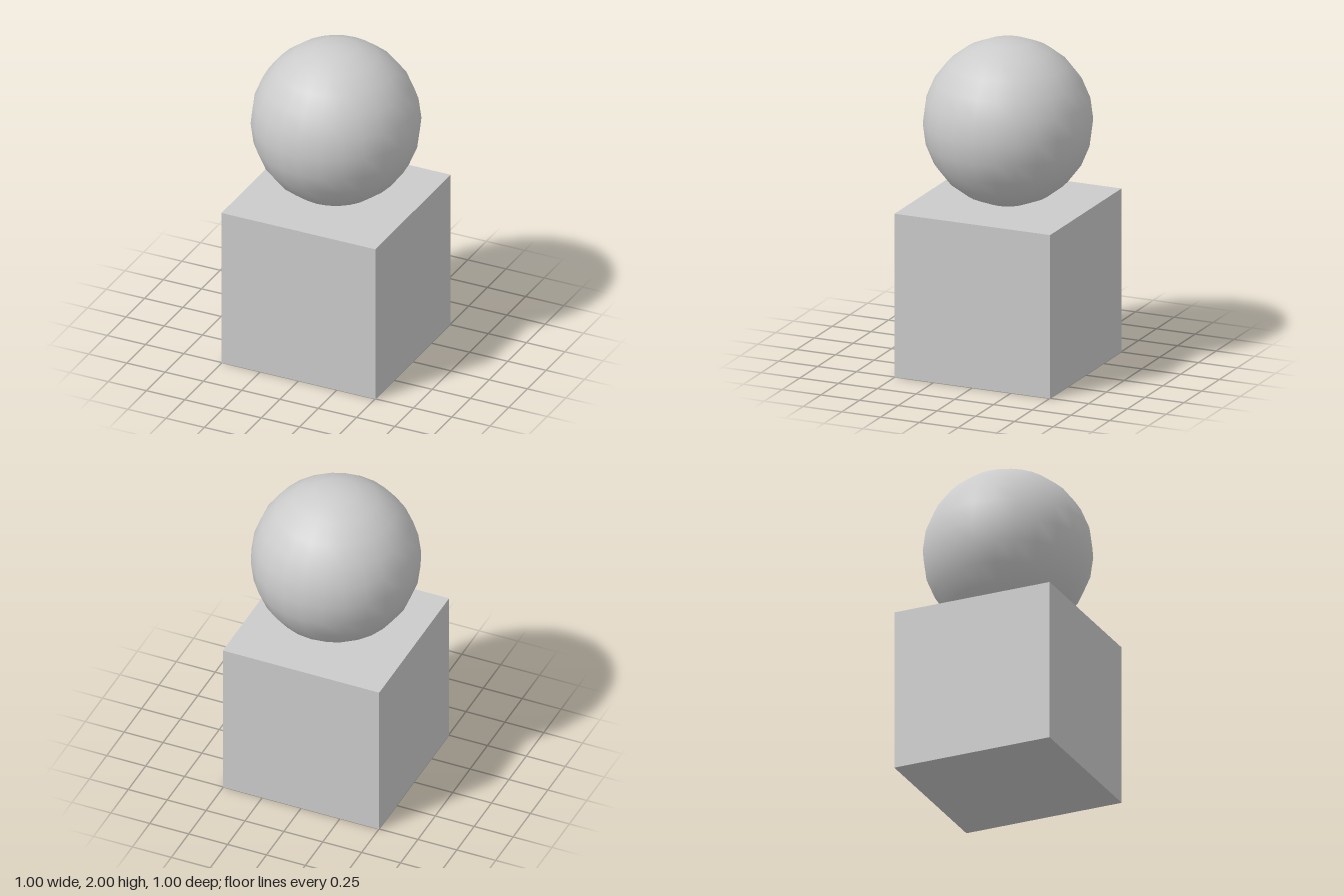
import * as THREE from 'three';

export function createModel() {
  const group = new THREE.Group();
  const material = new THREE.MeshStandardMaterial({ color: 0xcccccc });
  const size = 1.005; // cube edge and ball diameter

  const addPart = (name, geometry, y) => {
    const mesh = new THREE.Mesh(geometry, material);
    mesh.name = name;
    mesh.position.y = y;
    group.add(mesh);
  };

  // Cube standing on the ground
  addPart('cubeBase', new THREE.BoxGeometry(size, size, size), size / 2);

  // Smooth ball, sunk very slightly into the cube's top
  addPart('ball', new THREE.SphereGeometry(size / 2, 24, 12), 2 - size / 2);

  return group;
}
